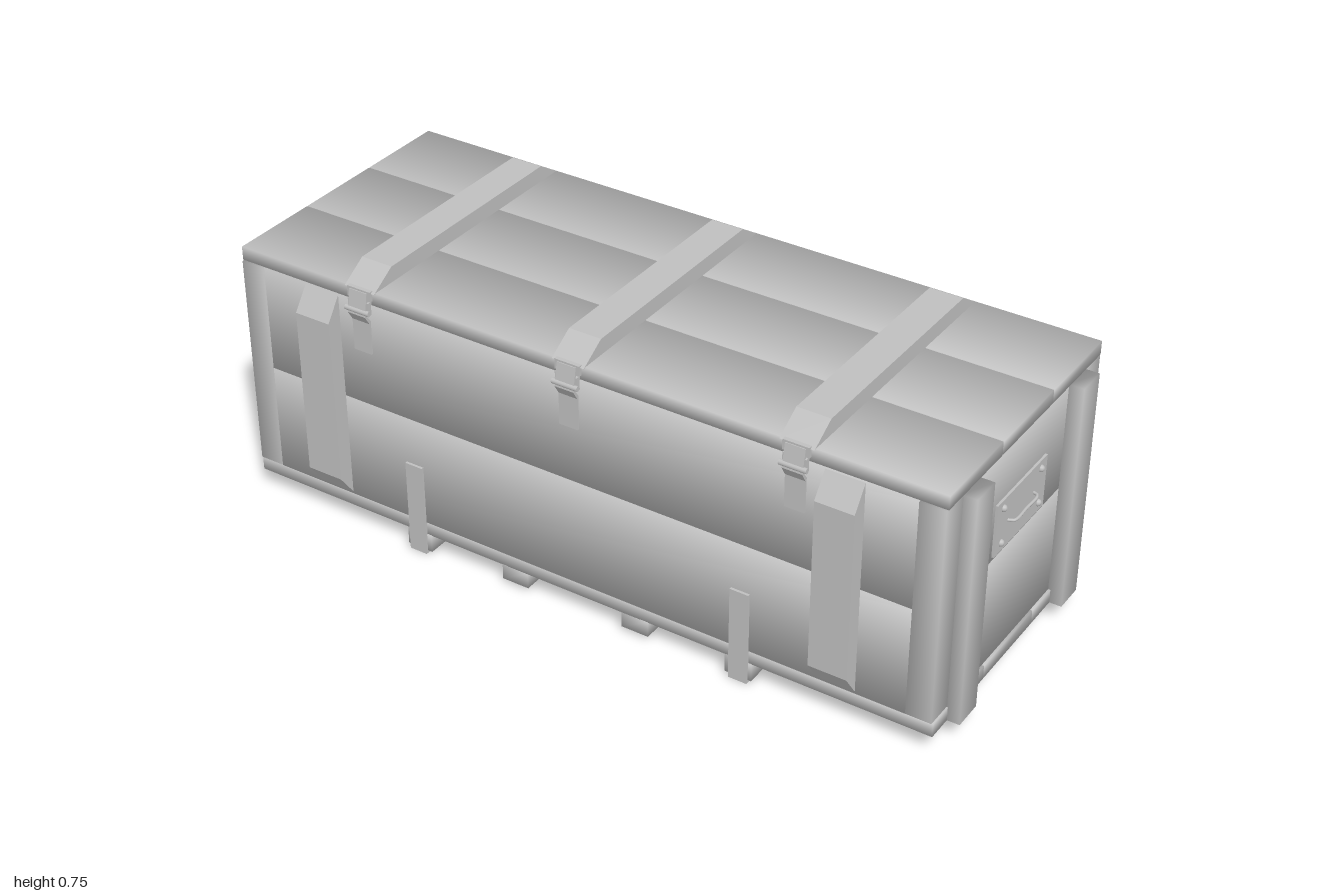
import * as THREE from 'three';

const metal = new THREE.MeshStandardMaterial({ color: 0xbfbfbf });
metal.name = 'plain grey';

// Box between two corners. Soft boxes share rounded corner normals, weakest along their length.
function box(parent, name, [x0, x1], [y0, y1], [z0, z1], soft = true) {
  const size = [x1 - x0, y1 - y0, z1 - z0];
  const geo = new THREE.BoxGeometry(...size);
  if (soft) {
    const longest = size.indexOf(Math.max(...size));
    const weight = [0, 1, 2].map(i => (i === longest ? 0.25 : 1));
    const p = geo.attributes.position, v = new THREE.Vector3();
    for (let i = 0; i < p.count; i++) {
      v.set(Math.sign(p.getX(i)) * weight[0], Math.sign(p.getY(i)) * weight[1], Math.sign(p.getZ(i)) * weight[2]).normalize();
      geo.attributes.normal.setXYZ(i, v.x, v.y, v.z);
    }
  }
  const mesh = new THREE.Mesh(geo, metal);
  mesh.name = name;
  mesh.position.set((x0 + x1) / 2, (y0 + y1) / 2, (z0 + z1) / 2);
  parent.add(mesh);
  return mesh;
}

// Profile given as [z, y] points, extruded across x and centred there
function profile(parent, name, points, x, width) {
  const shape = new THREE.Shape(points.map(([z, y]) => new THREE.Vector2(-z, y)));
  const geo = new THREE.ExtrudeGeometry(shape, { depth: width, bevelEnabled: false });
  geo.translate(0, 0, -width / 2).rotateY(Math.PI / 2);
  const mesh = new THREE.Mesh(geo, metal);
  mesh.name = name;
  mesh.position.x = x;
  parent.add(mesh);
  return mesh;
}

const span = (centre, width) => [centre - width / 2, centre + width / 2];
const side = (s, a, b) => (s > 0 ? [a, b] : [-b, -a]);

function group(parent, name) {
  const g = new THREE.Group();
  g.name = name;
  parent.add(g);
  return g;
}

export function createModel() {
  const crate = new THREE.Group();
  crate.name = 'crate';
  const body = group(crate, 'body'), lid = group(crate, 'lid'), base = group(crate, 'base');

  // Lid and floor, three long planks each
  for (const z of [[-0.372, -0.126], [-0.123, 0.121], [0.124, 0.37]]) {
    box(lid, 'lidPlank', [-0.968, 0.968], [0.671, 0.707], z);
    box(base, 'floorPlank', [-0.968, 0.968], [0.055, 0.092], z);
  }

  // Walls of two planks each
  for (const s of [-1, 1]) {
    for (const y of [[0.092, 0.383], [0.384, 0.67]]) {
      box(body, 'sidePlank', [-0.9, 0.9], y, side(s, 0.34, 0.372));
      box(body, 'endPlank', side(s, 0.93, 0.962), y, [-0.302, 0.302]);
    }
  }

  for (const sx of [-1, 1]) {
    for (const sz of [-1, 1]) {
      // Corner posts and upright end battens
      box(body, 'cornerPost', side(sx, 0.9, 0.966), [0.095, 0.67], side(sz, 0.3, 0.375));
      box(body, 'endBatten', side(sx, 0.96, 1), [0.055, 0.668], side(sz, 0.22, 0.3));
      // Side battens with sloped ends
      profile(body, 'sideBatten', [
        [sz * 0.37, 0.095], [sz * 0.415, 0.158], [sz * 0.415, 0.607], [sz * 0.37, 0.67],
      ], sx * 0.72, 0.1);
    }
  }

  // Sloped battens and latches across the lid
  for (const x of [-0.6, 0, 0.6]) {
    profile(lid, 'lidBatten', [[0.375, 0.705], [0.305, 0.749], [-0.305, 0.749], [-0.375, 0.705]], x, 0.088);
    const latch = group(crate, 'latch');
    box(latch, 'latchTop', span(x, 0.068), [0.683, 0.71], [0.368, 0.379], false);
    box(latch, 'latchBracket', span(x, 0.06), [0.645, 0.68], [0.37, 0.384], false);
    profile(latch, 'latchLever', [
      [0.371, 0.535], [0.377, 0.535], [0.377, 0.62], [0.392, 0.645], [0.381, 0.705], [0.376, 0.705], [0.385, 0.645], [0.371, 0.625],
    ], x, 0.052);
    const pin = new THREE.Mesh(new THREE.CylinderGeometry(0.007, 0.007, 0.07, 10), metal);
    pin.name = 'latchPin';
    pin.rotation.z = Math.PI / 2;
    pin.position.set(x, 0.655, 0.387);
    latch.add(pin);
  }

  // Hinges along the back edge
  for (const [x, w] of [[-0.49, 0.09], [0, 0.14], [0.49, 0.09]]) {
    const hinge = group(crate, 'hinge');
    box(hinge, 'hingePlate', span(x, w), [0.65, 0.69], [-0.377, -0.37], false);
    const knuckle = new THREE.Mesh(new THREE.CylinderGeometry(0.007, 0.007, w, 10), metal);
    knuckle.name = 'hingeKnuckle';
    knuckle.rotation.z = Math.PI / 2;
    knuckle.position.set(x, 0.67, -0.377);
    hinge.add(knuckle);
  }

  // Skids, the outer pair wrapped in a strap that climbs both sides
  for (const s of [-1, 1]) {
    box(base, 'innerSkid', span(s * 0.174, 0.075), [0.013, 0.056], [-0.37, 0.37]);
    box(base, 'outerSkid', span(s * 0.463, 0.072), [0.008, 0.056], [-0.373, 0.373]);
    box(base, 'strapBottom', span(s * 0.465, 0.05), [0, 0.008], [-0.379, 0.379], false);
    for (const f of [-1, 1]) box(base, 'strapSide', span(s * 0.465, 0.05), [0, 0.255], side(f, 0.371, 0.379), false);
  }

  // Handle plates on the ends, with four rivets and a bar
  for (const s of [-1, 1]) {
    const handle = group(crate, 'endHandle');
    box(handle, 'handlePlate', side(s, 0.961, 0.968), [0.396, 0.535], [-0.123, 0.123], false);
    for (const y of [0.42, 0.514]) for (const z of [-0.093, 0.093]) {
      const rivet = new THREE.Mesh(new THREE.SphereGeometry(0.009, 10, 8), metal);
      rivet.name = 'rivet';
      rivet.position.set(s * 0.968, y, z);
      handle.add(rivet);
    }
    const path = new THREE.CatmullRomCurve3(
      [[0.966, -0.064], [0.98, -0.058], [0.982, 0], [0.98, 0.058], [0.966, 0.064]]
        .map(([x, z]) => new THREE.Vector3(s * x, 0.465, z)));
    const bar = new THREE.Mesh(new THREE.TubeGeometry(path, 20, 0.004, 8), metal);
    bar.name = 'handleBar';
    handle.add(bar);
  }
  // Double check of facing: mirrored profiles are re-wound by ExtrudeGeometry
  return crate;
}
